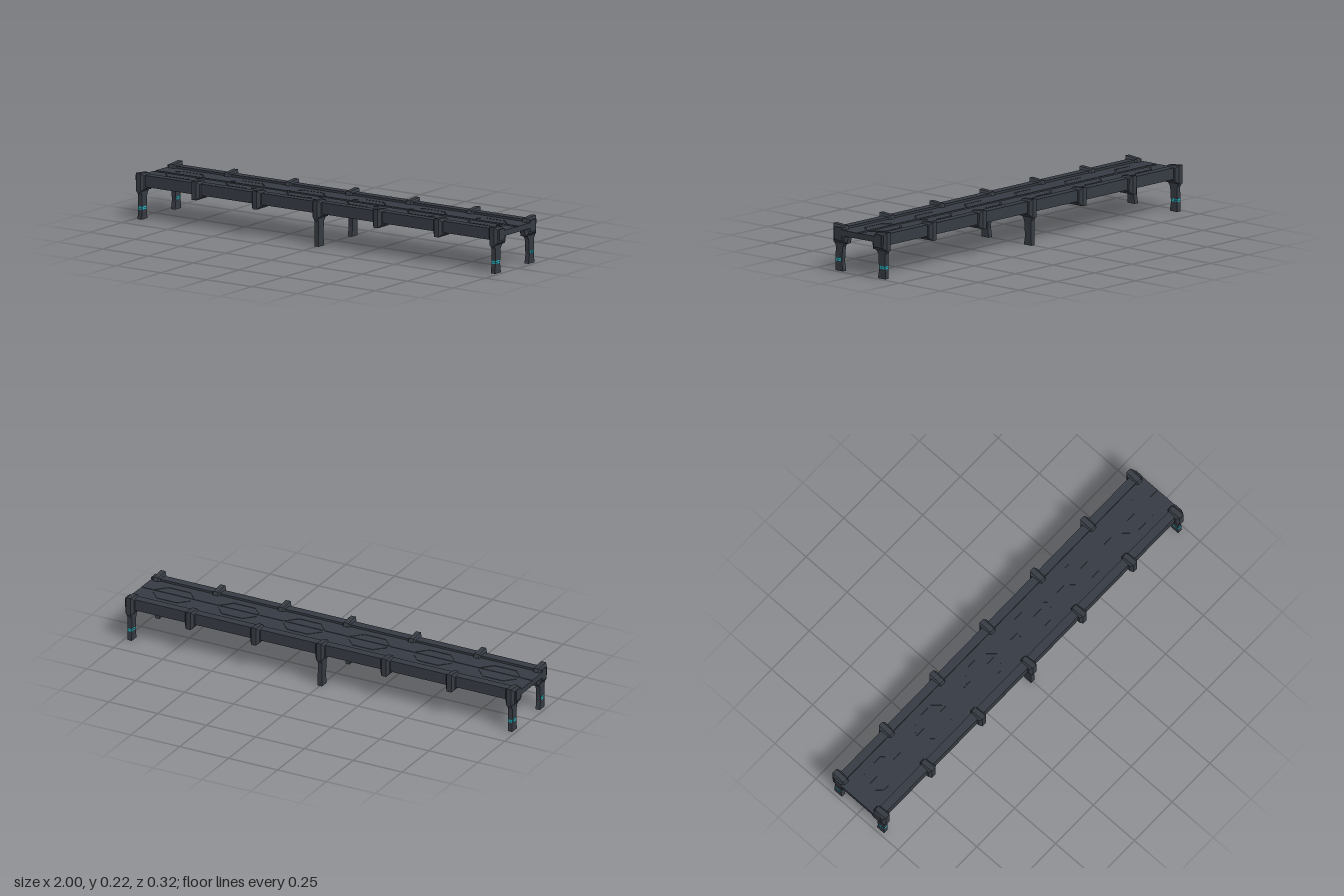
import * as THREE from 'three';

const hull = new THREE.MeshStandardMaterial({ color: 0x363b43 });
hull.name = 'dark slate metal';
const glow = new THREE.MeshStandardMaterial({ color: 0x20b8c4 });
glow.name = 'cyan marking';

function shapeOf(points) {
  return new THREE.Shape(points.map(([a, b]) => new THREE.Vector2(a, b)));
}

// Profile given as (z, y), extruded along x and centred on it, with chamfered ends
function crossSection(points, width, bevel = 0, inset = 0) {
  const depth = width - 2 * bevel;
  const g = new THREE.ExtrudeGeometry(shapeOf(points), {
    depth, bevelEnabled: bevel > 0, bevelThickness: bevel,
    bevelSize: inset, bevelOffset: -inset, bevelSegments: 1,
  });
  g.translate(0, 0, -depth / 2);
  g.rotateY(-Math.PI / 2);
  return g;
}

// Flat plate outlined in (x, z), with its top at the given height
function plate(points, top, thickness) {
  const g = new THREE.ExtrudeGeometry(shapeOf(points), { depth: thickness, bevelEnabled: false });
  g.rotateX(Math.PI / 2);
  g.translate(0, top, 0);
  return g;
}

function add(parent, name, geometry, material, x = 0, y = 0, z = 0) {
  const mesh = new THREE.Mesh(geometry, material);
  mesh.name = name;
  mesh.position.set(x, y, z);
  parent.add(mesh);
  return mesh;
}

const bracketGeometry = crossSection([
  [0.162, 0.215], [0.0955, 0.209], [0.088, 0.193],
  [0.072, 0.167], [0.079, 0.13], [0.162, 0.13],
], 0.046, 0.011, 0.013);

const legGeometry = crossSection([
  [0.151, 0], [0.106, 0], [0.113, 0.04], [0.108, 0.112],
  [0.094, 0.132], [0.16, 0.132], [0.149, 0.112],
], 0.022);

// Everything on one long edge; the other edge is the same turned half round
function createSide() {
  const side = new THREE.Group();
  add(side, 'sideRail', new THREE.BoxGeometry(2, 0.053, 0.04), hull, 0, 0.1765, 0.12);

  for (const x of [-0.973, -0.667, -0.333, 0, 0.333, 0.667, 0.973]) {
    add(side, 'railBracket', bracketGeometry, hull, x);
  }
  for (const x of [-0.973, 0, 0.973]) add(side, 'leg', legGeometry, hull, x);

  // Small lit blocks around the end legs
  for (const x of [-0.973, 0.973]) {
    for (const y of [0.048, 0.056]) {
      for (const z of [0.121, 0.132, 0.143]) {
        for (const s of [-1, 1]) {
          add(side, 'legMarking', new THREE.BoxGeometry(0.001, 0.006, 0.009), glow, x + s * 0.0112, y, z);
        }
      }
      add(side, 'legMarkingOuter', new THREE.BoxGeometry(0.02, 0.006, 0.001), glow, x, y, 0.1503);
    }
  }

  // Half of the deck skin, leaving shallow grooves round a chain of hexagons
  const edge = [[-1, 0.1], [-1, 0.009]];
  for (let i = 0; i < 6; i++) {
    const c = -0.833 + i / 3;
    edge.push([c - 0.105, 0.009], [c - 0.055, 0.062], [c + 0.055, 0.062], [c + 0.105, 0.009]);
    const inner = [[c - 0.099, 0.009], [c - 0.052, 0.058], [c + 0.052, 0.058], [c + 0.099, 0.009]];
    add(side, 'hexPanel', plate(inner, 0.193, 0.002), hull);
  }
  edge.push([1, 0.009], [1, 0.1]);
  add(side, 'deckSkin', plate(edge, 0.193, 0.002), hull);
  return side;
}

export function createModel() {
  const model = new THREE.Group();
  model.name = 'walkway';

  add(model, 'deck', new THREE.BoxGeometry(2, 0.024, 0.21), hull, 0, 0.179, 0);

  const front = createSide();
  front.name = 'frontEdge';
  const back = createSide();
  back.name = 'backEdge';
  back.rotation.y = Math.PI;
  model.add(front, back);
  return model;
}
